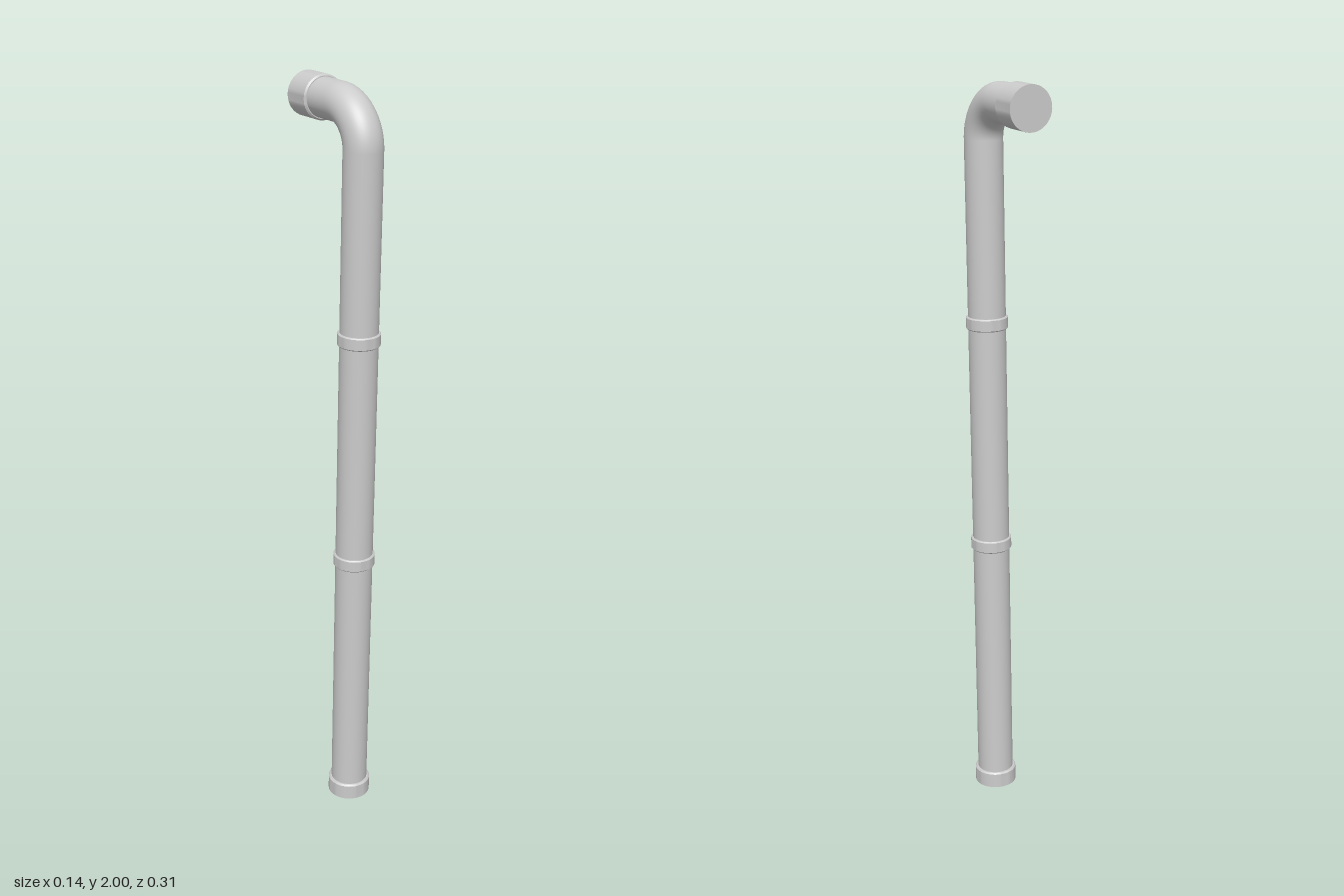
import * as THREE from 'three';
import { toCreasedNormals } from 'three/addons/utils/BufferGeometryUtils.js';

const SIDES = 40;
const PIPE_R = 0.05;
const UP = new THREE.Vector3(0, 1, 0);

export function createModel() {
  const group = new THREE.Group();
  const material = new THREE.MeshStandardMaterial({ color: 0xcccccc });

  // Key points of the slightly leaning pipe run
  const foot = new THREE.Vector3(-0.012, 0.001, 0.073);
  const bendStart = new THREE.Vector3(0.003, 1.845, 0.103);
  const bendEnd = new THREE.Vector3(0.004, 1.945, 0.003);
  const outlet = new THREE.Vector3(0.0115, 1.944, -0.154);
  const riseDir = bendStart.clone().sub(foot).normalize();
  const outDir = outlet.clone().sub(bendEnd).normalize();

  const add = (name, geometry) => {
    const mesh = new THREE.Mesh(geometry, material);
    mesh.name = name;
    group.add(mesh);
    return mesh;
  };
  const place = (mesh, position, dir) => {
    mesh.position.copy(position);
    mesh.quaternion.setFromUnitVectors(UP, dir);
  };

  // Straight pipe between two points
  const pipe = (name, a, b) => {
    const geometry = new THREE.CylinderGeometry(PIPE_R, PIPE_R, a.distanceTo(b), SIDES);
    place(add(name, geometry), a.clone().lerp(b, 0.5), b.clone().sub(a).normalize());
  };

  // Closed sleeve with chamfered rims, starting at a point and running along dir
  const sleeve = (name, start, dir, radius, length, bevelStart, bevelEnd) => {
    const profile = [
      [0, 0], [radius - bevelStart, 0], [radius, bevelStart],
      [radius, length - bevelEnd], [radius - bevelEnd, length], [0, length],
    ].map(([r, y]) => new THREE.Vector2(r, y))
      .filter((p, i, all) => i === 0 || p.distanceTo(all[i - 1]) > 1e-6);
    const geometry = toCreasedNormals(new THREE.LatheGeometry(profile, SIDES), 0.5);
    place(add(name, geometry), start, dir);
  };

  pipe('uprightPipe', foot, bendStart);
  pipe('outletPipe', bendEnd, outlet);

  // Quarter-turn elbow
  const k = 0.055;
  const bend = new THREE.CubicBezierCurve3(
    bendStart,
    bendStart.clone().addScaledVector(riseDir, k),
    bendEnd.clone().addScaledVector(outDir, -k),
    bendEnd,
  );
  add('elbow', new THREE.TubeGeometry(bend, 24, PIPE_R, SIDES, false));

  // Fittings: foot cap, joint collars and outlet socket
  sleeve('footCap', foot, riseDir, 0.058, 0.045, 0, 0.004);
  for (const y of [0.73, 1.353]) {
    const start = foot.clone().addScaledVector(riseDir, y);
    sleeve('jointCollar', start, riseDir, 0.0555, 0.034, 0.003, 0.003);
  }
  sleeve('outletSocket', outlet, outDir.clone().negate(), 0.0565, 0.083, 0, 0.004);

  return group;
}
